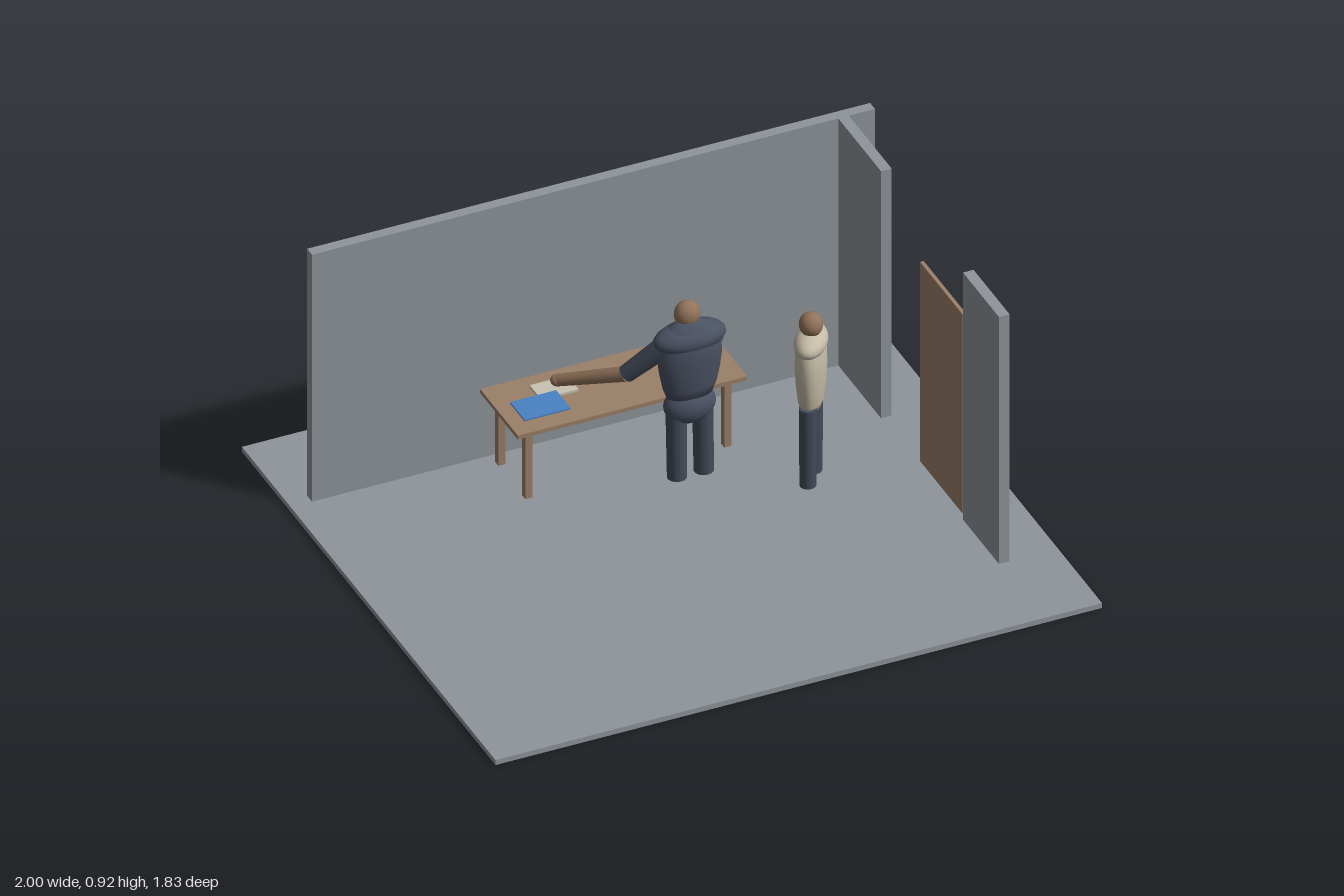
import * as THREE from 'three';

const mat = (name, color) => new THREE.MeshStandardMaterial({ name, color });

export function createModel() {
  const model = new THREE.Group();
  model.name = 'officeRoom';
  const grey = mat('wall grey', 0x8f959c);
  const wood = mat('wood', 0x9b8069);
  const blue = mat('folder blue', 0x4a82c4);
  const cream = mat('paper cream', 0xc8c2b0);
  const navy = mat('jacket navy', 0x4a5162);
  const trousers = mat('trouser slate', 0x434b5a);
  const skin = mat('skin', 0x92735a);
  const shirt = mat('shirt cream', 0xc4bba6);
  const penGrey = mat('pen grey', 0x5c6066);

  const add = (parent, name, geo, material, x = 0, y = 0, z = 0) => {
    const m = new THREE.Mesh(geo, material);
    m.name = name;
    m.position.set(x, y, z);
    parent.add(m);
    return m;
  };
  // Box given by its limits on each axis
  const box = (parent, name, material, [x0, x1], [y0, y1], [z0, z1]) =>
    add(parent, name, new THREE.BoxGeometry(x1 - x0, y1 - y0, z1 - z0), material,
      (x0 + x1) / 2, (y0 + y1) / 2, (z0 + z1) / 2);
  const ball = (parent, name, material, y, rx, ry, rz, z = 0) =>
    add(parent, name, new THREE.SphereGeometry(1, 20, 14), material, 0, y, z).scale.set(rx, ry, rz);
  // Tapered limb between two points
  const limb = (parent, name, material, a, b, ra, rb) => {
    const p = new THREE.Vector3(...a), q = new THREE.Vector3(...b);
    const d = q.clone().sub(p);
    const m = add(parent, name, new THREE.CylinderGeometry(rb, ra, d.length(), 14), material);
    m.position.copy(p).add(q).multiplyScalar(0.5);
    m.quaternion.setFromUnitVectors(new THREE.Vector3(0, 1, 0), d.normalize());
    return m;
  };
  // Lathed torso flattened front to back
  const torso = (parent, material, profile, depth) => {
    const pts = profile.map(([r, y]) => new THREE.Vector2(r, y));
    add(parent, 'torso', new THREE.LatheGeometry(pts, 20), material).scale.z = depth;
  };

  // Room shell
  const room = new THREE.Group();
  room.name = 'room';
  model.add(room);
  box(room, 'floor', grey, [-1, 1], [0, 0.018], [-0.913, 0.913]);
  box(room, 'backWall', grey, [-0.93, 0.926], [0.018, 0.916], [-0.596, -0.561]);
  box(room, 'sideWallBack', grey, [0.805, 0.84], [0.018, 0.916], [-0.561, -0.253]);
  box(room, 'sideWallFront', grey, [0.805, 0.84], [0.018, 0.916], [0.337, 0.596]);
  box(room, 'door', wood, [0.817, 0.829], [0.018, 0.742], [0.002, 0.307]);

  // Table with the things on it
  const table = new THREE.Group();
  table.name = 'table';
  model.add(table);
  box(table, 'tableTop', wood, [-0.38, 0.376], [0.262, 0.276], [-0.552, -0.28]);
  for (const x of [-0.331, 0.325])
    for (const z of [-0.513, -0.319])
      box(table, 'tableLeg', wood, [x - 0.012, x + 0.012], [0.018, 0.262], [z - 0.012, z + 0.012]);
  box(table, 'folder', blue, [-0.35, -0.198], [0.309, 0.314], [-0.402, -0.297]);
  box(table, 'paper', cream, [-0.25, -0.125], [0.29, 0.298], [-0.48, -0.4]);
  limb(table, 'pen', penGrey, [-0.1, 0.291, -0.432], [-0.068, 0.291, -0.439], 0.003, 0.003);

  // Person leaning over the table
  const worker = new THREE.Group();
  worker.name = 'personAtTable';
  worker.position.set(0.142, 0, -0.184);
  model.add(worker);
  torso(worker, navy, [[0, 0.33], [0.075, 0.345], [0.088, 0.38], [0.098, 0.43], [0.104, 0.48],
    [0.102, 0.54], [0.08, 0.585], [0.035, 0.605], [0, 0.606]], 0.55);
  ball(worker, 'shoulders', navy, 0.55, 0.118, 0.05, 0.06);
  ball(worker, 'hips', navy, 0.307, 0.084, 0.064, 0.054);
  for (const s of [-1, 1])
    limb(worker, 'leg', trousers, [s * 0.044, 0.055, 0.006], [s * 0.044, 0.3, 0], 0.031, 0.033);
  ball(worker, 'head', skin, 0.62, 0.041, 0.045, 0.036, -0.018);
  limb(worker, 'neck', skin, [0, 0.58, -0.008], [0, 0.61, -0.015], 0.024, 0.024);

  // Each arm: shoulder, elbow, hand
  const arms = [
    [[-0.08, 0.525, -0.012], [-0.172, 0.41, -0.082], [-0.322, 0.325, -0.25]],
    [[0.085, 0.525, -0.012], [0.058, 0.41, -0.092], [0.016, 0.31, -0.13]],
  ];
  for (const [a, b, c] of arms) {
    limb(worker, 'upperArm', navy, a, b, 0.034, 0.028);
    limb(worker, 'forearm', skin, b, c, 0.024, 0.019);
    const hand = ball(worker, 'hand', skin, c[1], 0.021, 0.018, 0.021);
    worker.children.at(-1).position.set(...c);
  }

  // Person standing near the door, turned towards the table
  const visitor = new THREE.Group();
  visitor.name = 'standingPerson';
  visitor.position.set(0.465, 0, -0.015);
  visitor.rotation.y = 0.92;
  model.add(visitor);
  torso(visitor, shirt, [[0, 0.305], [0.05, 0.312], [0.064, 0.34], [0.074, 0.4], [0.079, 0.46],
    [0.076, 0.52], [0.055, 0.57], [0.025, 0.585], [0, 0.586]], 0.6);
  ball(visitor, 'shoulders', shirt, 0.545, 0.087, 0.04, 0.05);
  for (const s of [-1, 1])
    limb(visitor, 'leg', trousers, [s * 0.042, 0.05, 0], [s * 0.042, 0.33, 0], 0.026, 0.028);
  ball(visitor, 'head', skin, 0.606, 0.037, 0.04, 0.037);

  return model;
}
